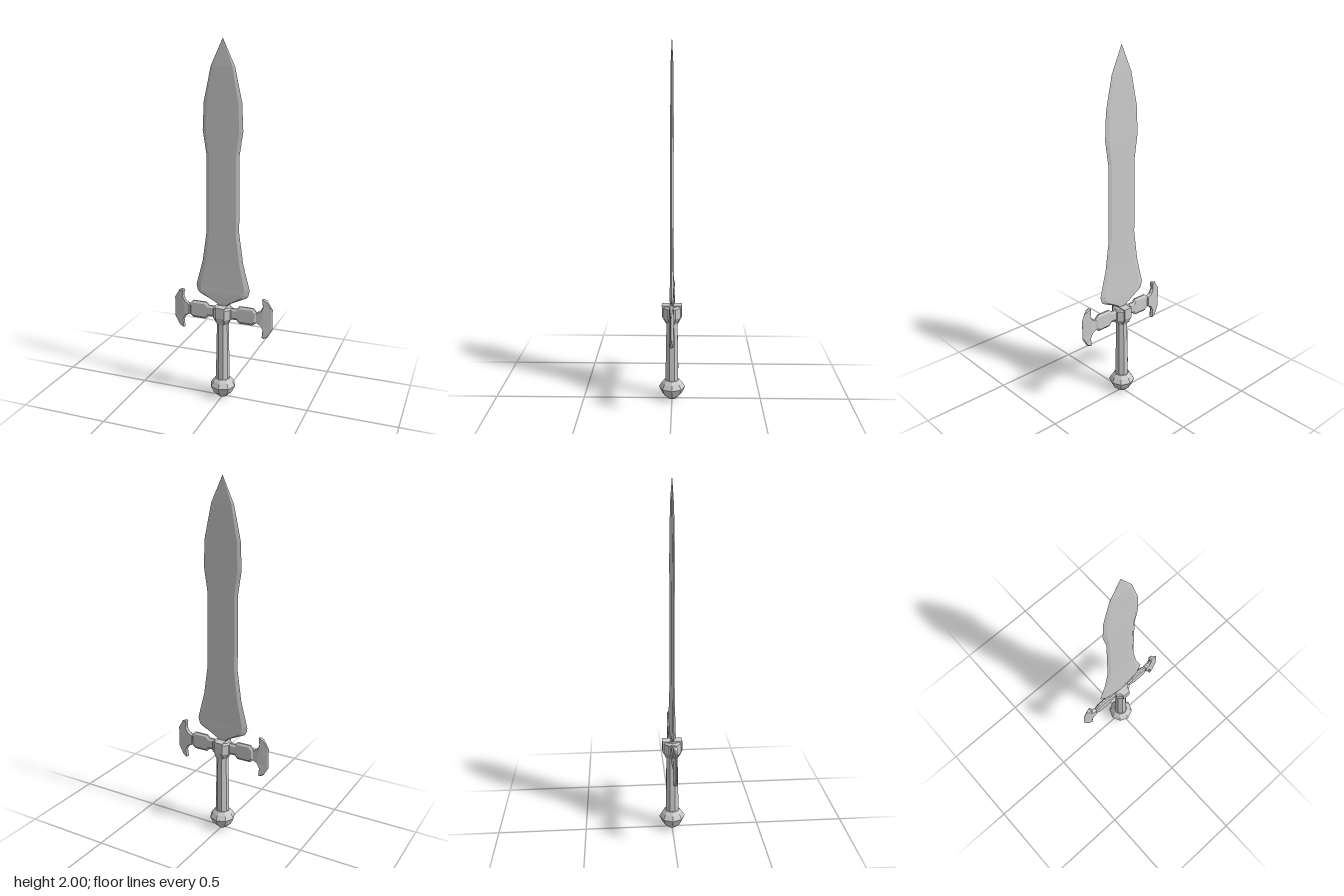
import * as THREE from 'three';

const material = new THREE.MeshStandardMaterial({ color: 0xcccccc, flatShading: true });

function add(parent, name, geometry) {
  const mesh = new THREE.Mesh(geometry, material);
  mesh.name = name;
  parent.add(mesh);
  return mesh;
}

// Flat plate with chamfered edges, centred on z = 0; the outline is its true outer edge
function plate(points, halfThickness, chamfer, rim = 0.001) {
  const shape = new THREE.Shape(points.map(([x, y]) => new THREE.Vector2(x, y)));
  const geometry = new THREE.ExtrudeGeometry(shape, {
    depth: rim * 2, bevelEnabled: true, bevelSegments: 1,
    bevelThickness: halfThickness - rim, bevelSize: chamfer, bevelOffset: -chamfer,
  });
  return geometry.translate(0, 0, -rim);
}

// Eight-sided turned solid
function turned(profile, turn = 0) {
  const points = profile.map(([r, y]) => new THREE.Vector2(r, y));
  return new THREE.LatheGeometry(points, 8).rotateY(turn);
}

// Blade lofted from six-cornered sections: [y, half width, half thickness]
function bladeGeometry() {
  const stations = [
    [0.55, 0.022, 0.008], [0.565, 0.035, 0.01], [0.615, 0.14, 0.011], [0.63, 0.15, 0.011],
    [0.66, 0.157, 0.01], [0.81, 0.118, 0.008], [0.98, 0.094, 0.008], [1.4, 0.093, 0.008],
    [1.53, 0.113, 0.008], [1.68, 0.106, 0.007], [1.86, 0.066, 0.006], [2, 0, 0],
  ];
  const positions = [], index = [];
  stations.forEach(([y, w, t], i) => {
    const c = w * 0.82;
    for (const [x, z] of [[w, 0], [c, t], [-c, t], [-w, 0], [-c, -t], [c, -t]]) positions.push(x, y, z);
    if (i === 0) return;
    for (let j = 0; j < 6; j++) {
      const a = (i - 1) * 6 + j, b = (i - 1) * 6 + (j + 1) % 6;
      index.push(a, a + 6, b, b, a + 6, b + 6);
    }
  });
  for (let j = 1; j < 5; j++) index.push(0, j, j + 1);
  const geometry = new THREE.BufferGeometry();
  geometry.setAttribute('position', new THREE.Float32BufferAttribute(positions, 3));
  geometry.setIndex(index);
  geometry.computeVertexNormals();
  return geometry;
}

// Axe-shaped end of the guard, thinning to a sharp outer edge
function finialGeometry() {
  const geometry = plate([
    [0.195, 0.48], [0.222, 0.465], [0.234, 0.44], [0.229, 0.395], [0.24, 0.39], [0.262, 0.402],
    [0.29, 0.452], [0.29, 0.568], [0.262, 0.616], [0.24, 0.626], [0.229, 0.62], [0.234, 0.578],
    [0.222, 0.555], [0.195, 0.54],
  ], 0.012, 0.005);
  const p = geometry.attributes.position;
  for (let i = 0; i < p.count; i++) {
    const t = THREE.MathUtils.clamp((p.getX(i) - 0.235) / 0.055, 0, 1);
    p.setZ(i, p.getZ(i) * (1 - 0.75 * t));
  }
  geometry.computeVertexNormals();
  return geometry;
}

export function createModel() {
  const sword = new THREE.Group();
  sword.name = 'sword';

  add(sword, 'blade', bladeGeometry());

  // Guard: two matching arms, each with a flared finial
  for (const side of [0, 1]) {
    const arm = new THREE.Group();
    arm.name = side ? 'rightGuard' : 'leftGuard';
    arm.rotation.y = side * Math.PI;
    add(arm, 'guardArm', plate([
      [0.03, 0.48], [0.082, 0.48], [0.098, 0.462], [0.178, 0.462], [0.2, 0.482],
      [0.2, 0.54], [0.178, 0.562], [0.098, 0.562], [0.082, 0.545], [0.03, 0.545],
    ], 0.0125, 0.011, 0.005));
    add(arm, 'guardFinial', finialGeometry());
    sword.add(arm);
  }

  // Collar: eight-sided core with raised blocks front and back
  add(sword, 'collarCore', turned(
    [[0, 0.45], [0.036, 0.45], [0.056, 0.485], [0.056, 0.54], [0.046, 0.55], [0, 0.55]], Math.PI / 8));
  for (const side of [0, 1]) {
    const block = plate([[0, 0.455], [0.036, 0.455], [0.056, 0.495], [0.056, 0.556], [0, 0.556]], 0.025, 0.002, 0.022);
    add(sword, 'collarBlock', block.rotateY((side ? 1 : -1) * Math.PI / 2));
  }

  // Grip: faceted, swelling slightly towards the pommel
  add(sword, 'grip', turned(
    [[0, 0.09], [0.038, 0.09], [0.038, 0.2], [0.034, 0.4], [0.033, 0.47], [0, 0.47]], Math.PI / 8));

  // Pommel: cut-stone shape
  add(sword, 'pommel', turned(
    [[0, 0], [0.025, 0.002], [0.056, 0.032], [0.074, 0.07], [0.058, 0.096], [0.042, 0.114], [0, 0.116]]));

  return sword;
}
